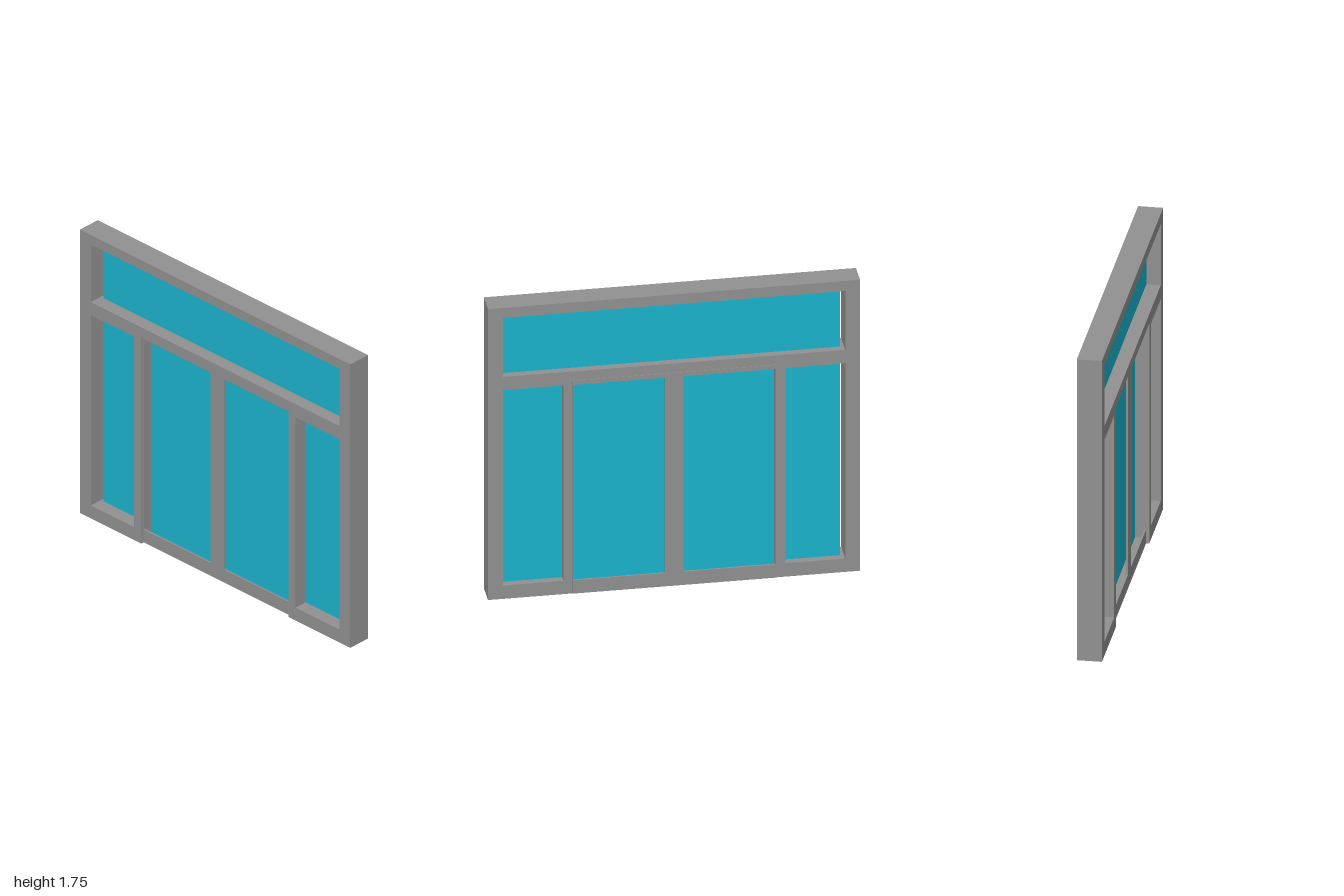
import * as THREE from 'three';

const grey = new THREE.MeshStandardMaterial({ color: 0x919191 });
const teal = new THREE.MeshStandardMaterial({ color: 0x1ab3cc });

const rect = (u0, v0, u1, v1) => [[u0, v0], [u1, v0], [u1, v1], [u0, v1]].map(p => new THREE.Vector2(...p));

// Extrude an outline drawn in the (-z, y) plane from x0 to x1
function panel(name, outline, holes, x0, x1, material) {
  const shape = new THREE.Shape(outline);
  for (const h of holes) shape.holes.push(new THREE.Path(h));
  const geometry = new THREE.ExtrudeGeometry(shape, { depth: x1 - x0, bevelEnabled: false });
  geometry.rotateY(Math.PI / 2);
  geometry.translate(x0, 0, 0);
  const mesh = new THREE.Mesh(geometry, material);
  mesh.name = name;
  return mesh;
}

export function createModel() {
  const group = new THREE.Group();
  group.name = 'slidingDoorWindow';
  const H = 1.75, low = 0.08, high = 1.255, doorTop = 1.28, half = 0.545;

  // Main frame, with a doorway open at the bottom, two sidelights and a transom
  const outline = [
    [-1, 0], [-half, 0], [-half, doorTop], [half, doorTop],
    [half, 0], [1, 0], [1, H], [-1, H],
  ].map(p => new THREE.Vector2(...p));
  group.add(panel('mainFrame', outline, [
    rect(-0.92, 1.335, 0.92, 1.69),
    rect(-0.92, low, -0.595, high),
    rect(0.6, low, 0.92, high),
  ], -0.07, 0.065, grey));

  // Thin door frames on both faces; the one at -x sits slightly inset
  for (const [name, x0, x1] of [['rightDoorFrame', 0.058, 0.068], ['leftDoorFrame', -0.053, -0.043]]) {
    group.add(panel(name, rect(-half, 0, half, doorTop), [
      rect(-half + 0.001, low, -0.05, high),
      rect(0.05, low, half - 0.001, high),
    ], x0, x1, grey));
  }

  // Sill floor between the door frames
  group.add(panel('doorSill', rect(-half, 0, half, 0.03), [], -0.045, 0.06, grey));

  // One glass sheet running through the frame, short of the -z jamb
  group.add(panel('glass', rect(-0.94, 0.03, 0.9, 1.71), [], 0.007, 0.022, teal));

  return group;
}
